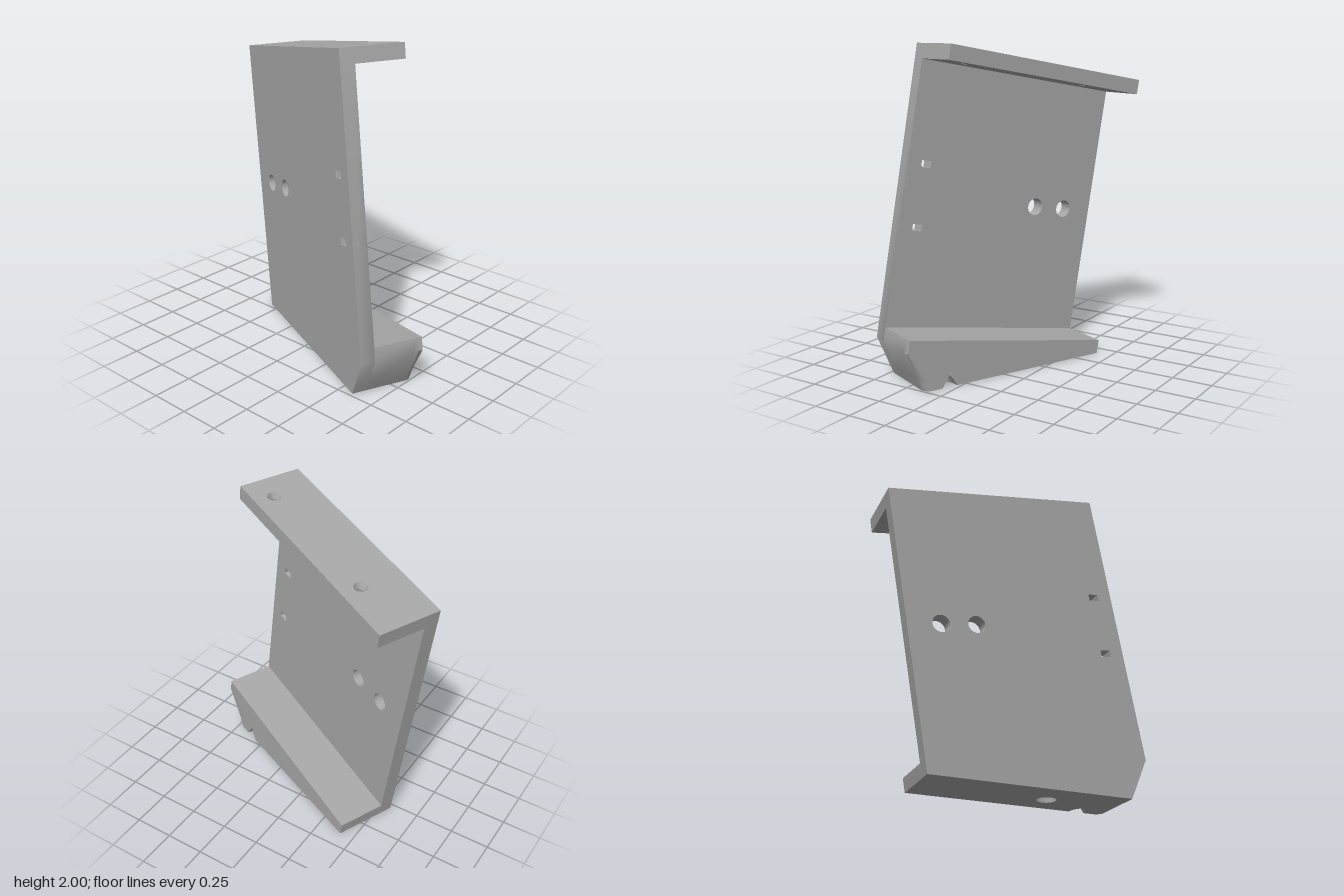
import * as THREE from 'three';
import { toCreasedNormals } from 'three/addons/utils/BufferGeometryUtils.js';

const W = 0.2, INNER = -0.11;        // half width, inner face of the wall
const YAW = -0.4136, TILT = 0.172;   // turn of the bracket, slope of its flanges
const SLAB = 0.06, ROUND = 0.05;     // foot layer height, front corner radius

const polygon = pts => new THREE.Shape(pts.map(p => new THREE.Vector2(p[0], p[1])));

function circleHole(x, y, r) {
  return new THREE.Path().absarc(x, y, r, 0, Math.PI * 2, true);
}

// Rectangular window turned to follow the slope
function slotHole(x, y, w, h) {
  const c = Math.cos(TILT), s = Math.sin(TILT);
  return new THREE.Path([[-1, -1], [-1, 1], [1, 1], [1, -1]].map(([a, b]) => {
    const u = a * w / 2, v = b * h / 2;
    return new THREE.Vector2(x + u * c - v * s, y + u * s + v * c);
  }));
}

// Side outline (z, y) extruded across the width from x0 to x1
function sidePlate(shape, x0, x1, steps = 1) {
  return new THREE.ExtrudeGeometry(shape, { depth: x1 - x0, steps, bevelEnabled: false, curveSegments: 24 })
    .rotateY(-Math.PI / 2).translate(x1, 0, 0);
}

// Plan outline (x, -z) extruded upward from y0 to y1
function flatPlate(shape, y0, y1) {
  return new THREE.ExtrudeGeometry(shape, { depth: y1 - y0, bevelEnabled: false, curveSegments: 20 })
    .rotateX(-Math.PI / 2).translate(0, y0, 0);
}

function moveVertices(geometry, rule) {
  const p = geometry.attributes.position, v = new THREE.Vector3();
  for (let i = 0; i < p.count; i++) {
    rule(v.fromBufferAttribute(p, i));
    p.setXYZ(i, v.x, v.y, v.z);
  }
  return geometry;
}

export function createModel() {
  const grey = new THREE.MeshStandardMaterial({ color: 0xa8a8a8, side: THREE.DoubleSide });
  grey.name = 'light grey';
  const model = new THREE.Group();
  model.name = 'bracket';
  const body = new THREE.Group();
  body.name = 'bracketBody';
  body.rotation.y = YAW;
  model.add(body);

  const add = (parent, name, geometry) => {
    const mesh = new THREE.Mesh(toCreasedNormals(geometry, 0.6), grey);
    mesh.name = name;
    parent.add(mesh);
    return mesh;
  };

  // Wall with two round holes and two small windows
  const wall = polygon([[0.536, 2], [-0.845, 1.76], [-0.535, 0], [0.735, 0], [0.843, 0.25]]);
  wall.holes.push(
    circleHole(-0.258, 0.95, 0.055), circleHole(-0.481, 0.915, 0.055),
    slotHole(0.534, 1.288, 0.065, 0.042), slotHole(0.603, 0.91, 0.065, 0.042));
  add(body, 'wall', sidePlate(wall, -W, INNER));

  // Top flange: sloping plate with two countersunk screw holes
  const top = new THREE.Group();
  top.name = 'topFlange';
  top.position.set(0, 2, 0.536);
  top.rotation.x = -TILT;
  body.add(top);
  const screws = [0.173, 1.054], screwX = 0.073;
  for (const [name, r, y0, y1] of [['topFlangeUpper', 0.04, -0.035, 0], ['topFlangeLower', 0.024, -0.091, -0.035]]) {
    const plate = polygon([[INNER, 0], [W, 0], [W, 1.402], [INNER, 1.402]]);
    for (const z of screws) plate.holes.push(circleHole(screwX, z, r));
    add(top, name, flatPlate(plate, y0, y1));
  }
  for (const z of screws) {
    const cone = new THREE.CylinderGeometry(0.04, 0.024, 0.035, 24, 1, true);
    add(top, 'countersink', cone).position.set(screwX, -0.0175, -z);
  }

  // Bottom flange: wedge above the foot layer, front corner rounded on the open side
  const wedge = [[0.829, 0.33], [-0.55, 0.085], [-0.546, SLAB]];
  const front = [[0.761, SLAB], [0.843, 0.25]];
  const slot = [[0.557, SLAB], [0.557, 0.09], [0.579, 0.09], [0.579, SLAB]];
  const split = W - ROUND;
  add(body, 'bottomFlangeInner', sidePlate(polygon([...wedge, ...front]), INNER, split));
  const outer = sidePlate(polygon([...wedge, ...slot, ...front]), split, W, 8);
  add(body, 'bottomFlangeOuter', moveVertices(outer, v => {
    if (v.z > 0.7 && v.y < 0.1) {
      const t = Math.min(ROUND, Math.max(0, v.x - split));
      v.z -= ROUND - Math.sqrt(ROUND * ROUND - t * t);
    }
  }));

  // Foot layer: flat underside with a blind hole and a notch tapering to the slot
  const foot = new THREE.Shape();
  foot.moveTo(INNER, -0.735);
  foot.lineTo(split, -0.735);
  foot.absarc(split, -0.735 + ROUND, ROUND, -Math.PI / 2, 0, false);
  foot.lineTo(W, -0.618);
  foot.absellipse(W, -0.568, 0.09, 0.05, -Math.PI / 2, -Math.PI * 1.5, true);
  foot.lineTo(W, 0.535);
  foot.lineTo(INNER, 0.535);
  foot.holes.push(circleHole(0.02, -0.28, 0.06));
  add(body, 'foot', moveVertices(flatPlate(foot, 0, SLAB), v => {
    if (v.y < 0.01) return;
    if (v.z > 0.65) v.z += 0.026;
    else if (v.z < -0.5) v.z -= 0.011;
    else if (v.x > 0.1 && Math.abs(v.z - 0.568) < 0.055) v.z = 0.568 + (v.z - 0.568) * 0.22;
  }));

  return model;
}
